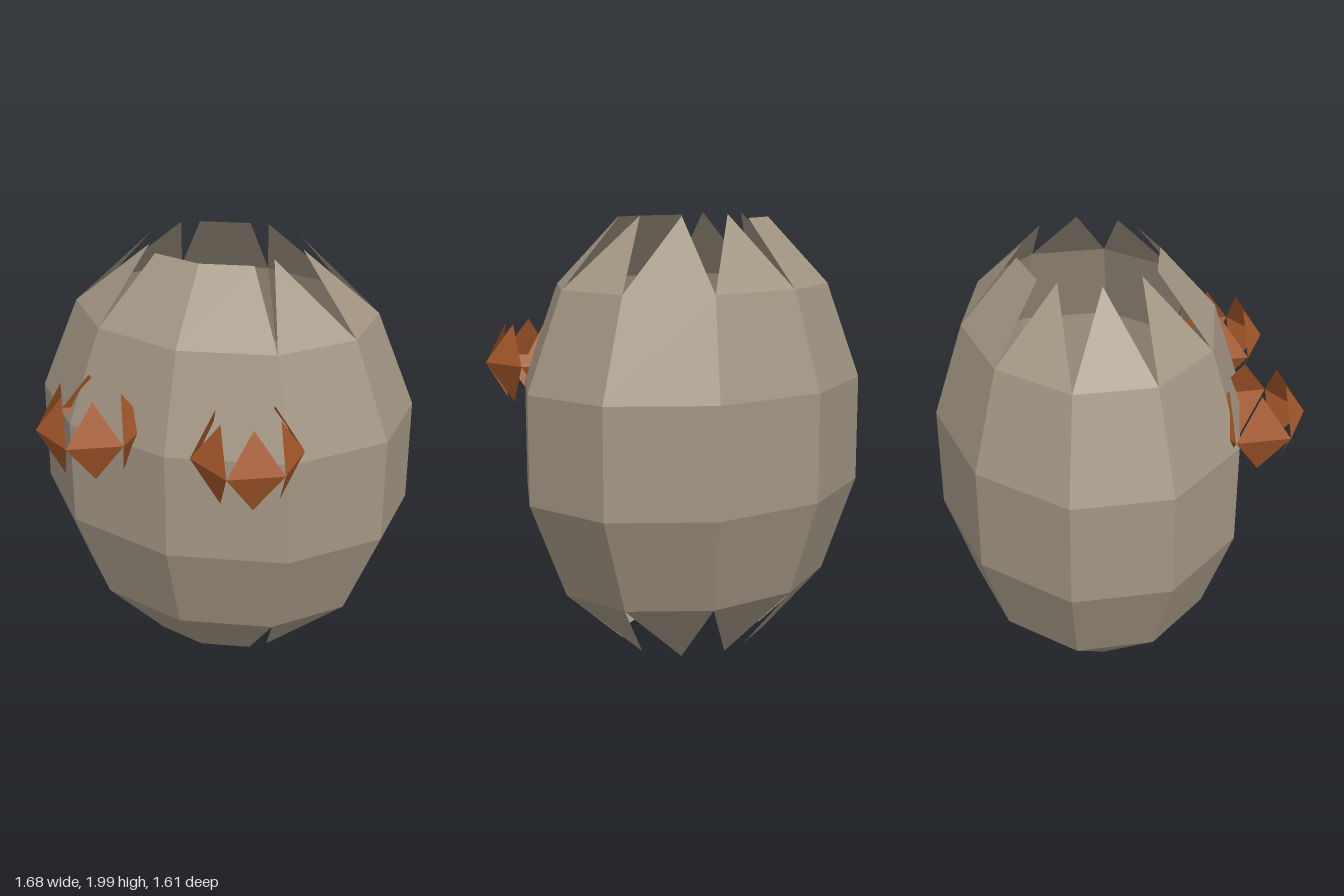
import * as THREE from 'three';

const SIDES = 10, CY = 1.0025, CZ = -0.1;

// Flat-shaded open surface from a list of triangles (each three Vector3)
function surface(name, triangles, color) {
  const geometry = new THREE.BufferGeometry().setFromPoints(triangles.flat());
  geometry.computeVertexNormals();
  const mesh = new THREE.Mesh(geometry, new THREE.MeshStandardMaterial({
    color, flatShading: true, side: THREE.DoubleSide,
  }));
  mesh.name = name;
  return mesh;
}

// Point on an elliptical shell ring; step 0 is the front, positive turns to +x
function ringPoint(step, rx, rz, dy) {
  const a = (step / SIDES) * Math.PI * 2;
  return new THREE.Vector3(rx * Math.sin(a), CY + dy, CZ + rz * Math.cos(a));
}
const middle = (i, s) => ringPoint(i, 0.883, 0.706, 0.2425 * s);
const shoulder = (i, s) => ringPoint(i, 0.703, 0.567, 0.677 * s);
const rim = (i, s) => ringPoint(i, 0.39, 0.312, 0.976 * s);

const quad = (a, b, c, d) => [[a, b, c], [a, c, d]];
const flip = (tris) => tris.map(([a, b, c]) => [a, c, b]);

// Faceted shell: central band plus a sloping band above and below
function createShell() {
  const tris = [];
  for (let i = 0; i < SIDES; i++) {
    tris.push(...quad(middle(i, -1), middle(i + 1, -1), middle(i + 1, 1), middle(i, 1)));
    for (const s of [1, -1]) {
      const band = quad(middle(i, s), middle(i + 1, s), shoulder(i + 1, s), shoulder(i, s));
      tris.push(...(s > 0 ? band : flip(band)));
    }
  }
  return surface('shell', tris, 0xa39684);
}

// Jagged teeth around one opening: three blunt panels, the rest pointed
function createTeeth(s) {
  const blunt = [0, 5, 9], tris = [];
  for (let i = 0; i < SIDES; i++) {
    const a = shoulder(i, s), b = shoulder(i + 1, s);
    let tooth;
    if (blunt.includes(i)) {
      tooth = quad(a, b, rim(i + 1, s), rim(i, s));
    } else {
      const reach = i === 4 ? 0.995 : 0.988;
      const tip = i === 4
        ? new THREE.Vector3(0.1, CY + reach * s, -0.375)
        : ringPoint(i + 0.5, 0.36, 0.3, reach * s);
      tooth = [[a, b, tip]];
    }
    tris.push(...(s > 0 ? tooth : flip(tooth)));
  }
  return surface(s > 0 ? 'upperTeeth' : 'lowerTeeth', tris, 0xa39684);
}

// Eye: six-sided ring of diamonds folding inward above and below
function createEye(side) {
  const point = (step, r, y) => {
    const a = (step * Math.PI) / 3;
    return new THREE.Vector3(r * Math.sin(a), y, r * Math.cos(a));
  };
  const tris = [];
  for (let i = 0; i < 6; i++) {
    const a = point(i, 0.242, 0), b = point(i + 1, 0.242, 0);
    tris.push([a, b, point(i + 0.5, 0.144, 0.182)], [b, a, point(i + 0.5, 0.144, -0.182)]);
  }
  const eye = surface(side > 0 ? 'leftEye' : 'rightEye', tris, 0xa5582a);
  eye.position.set(0.36 * side, 1.305, 0.56);
  return eye;
}

export function createModel() {
  const group = new THREE.Group();
  group.name = 'jaggedShellWithEyes';
  group.add(createShell(), createTeeth(1), createTeeth(-1), createEye(1), createEye(-1));
  return group;
}
